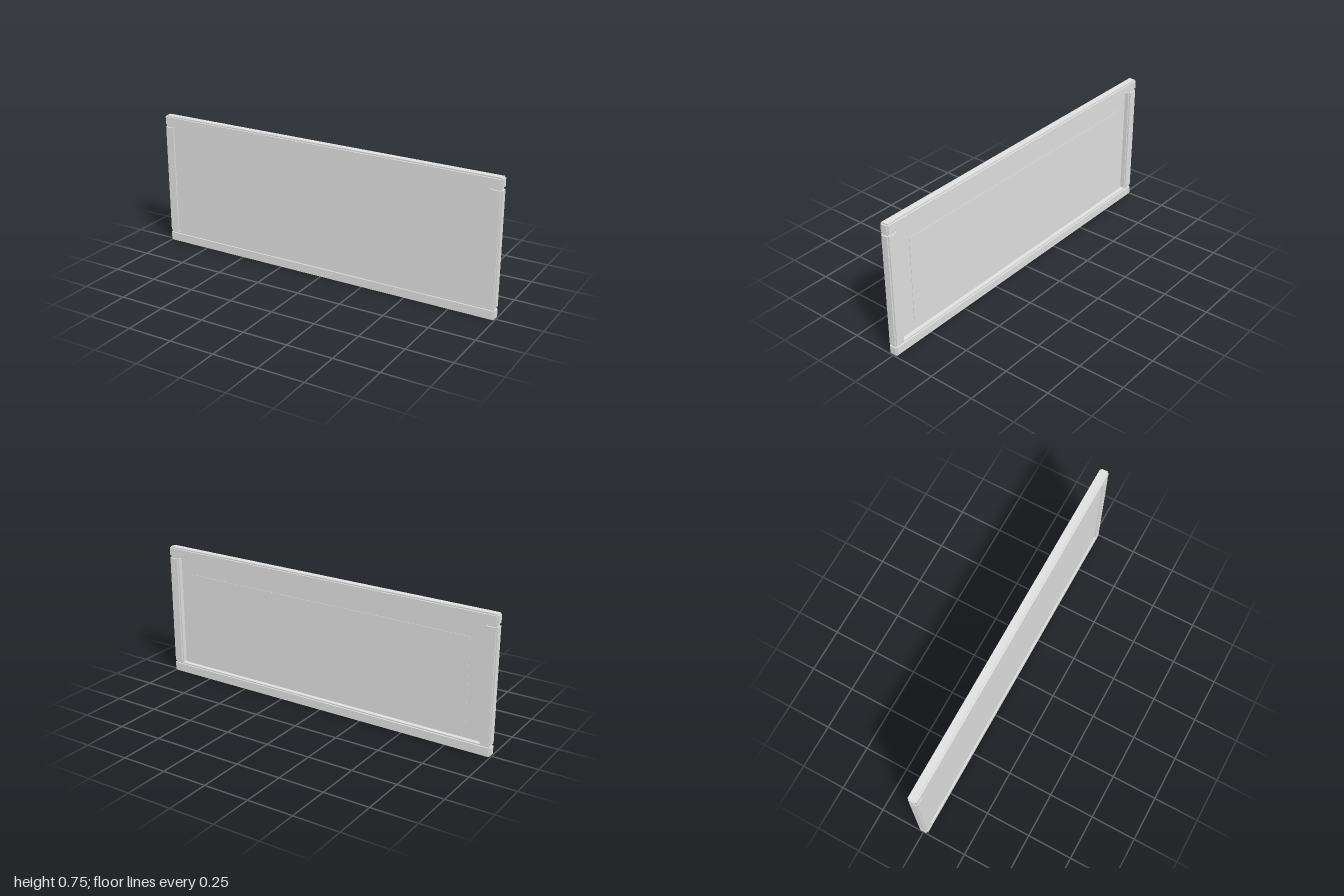
import * as THREE from 'three';

const W = 2, H = 0.75, D = 0.05;      // overall size
const STILE = 0.062, RAIL = 0.0585;   // frame member widths
const STEP = 0.0075;                  // square notch along every edge

export function createModel() {
  const group = new THREE.Group();
  const lightGrey = new THREE.MeshStandardMaterial({ color: 0xdfdfdf });
  lightGrey.name = 'lightGrey';

  const addBox = (parent, name, size, x, y, z) => {
    const mesh = new THREE.Mesh(new THREE.BoxGeometry(...size), lightGrey);
    mesh.name = name;
    mesh.position.set(x, y, z);
    parent.add(mesh);
  };

  // Frame member with square-stepped edges: three crossing boxes,
  // each full length along one axis and inset along the other two
  const addMember = (name, size, x, y) => {
    const member = new THREE.Group();
    member.name = name;
    member.position.set(x, y, 0);
    ['lengthCore', 'heightCore', 'faceCore'].forEach((core, axis) => {
      const inset = size.map((s, i) => (i === axis ? s : s - 2 * STEP));
      addBox(member, core, inset, 0, 0, 0);
    });
    group.add(member);
  };

  // Full-width rails at the top and bottom
  addMember('topRail', [W, RAIL, D], 0, H - RAIL / 2);
  addMember('bottomRail', [W, RAIL, D], 0, RAIL / 2);

  // Upright stiles between the rails
  const openW = W - 2 * STILE, openH = H - 2 * RAIL;
  addMember('leftStile', [STILE, openH, D], W / 2 - STILE / 2, H / 2);
  addMember('rightStile', [STILE, openH, D], -W / 2 + STILE / 2, H / 2);

  // Panel level with the front steps, deeply recessed at the back
  const front = D / 2 - STEP, back = 0.006;
  addBox(group, 'panel', [openW, openH, front - back], 0, H / 2, (front + back) / 2);

  // Thin plate standing proud of the back of the panel
  addBox(group, 'backPlate', [1.72, 0.47, 0.002], 0, H / 2, -0.017);

  return group;
}
